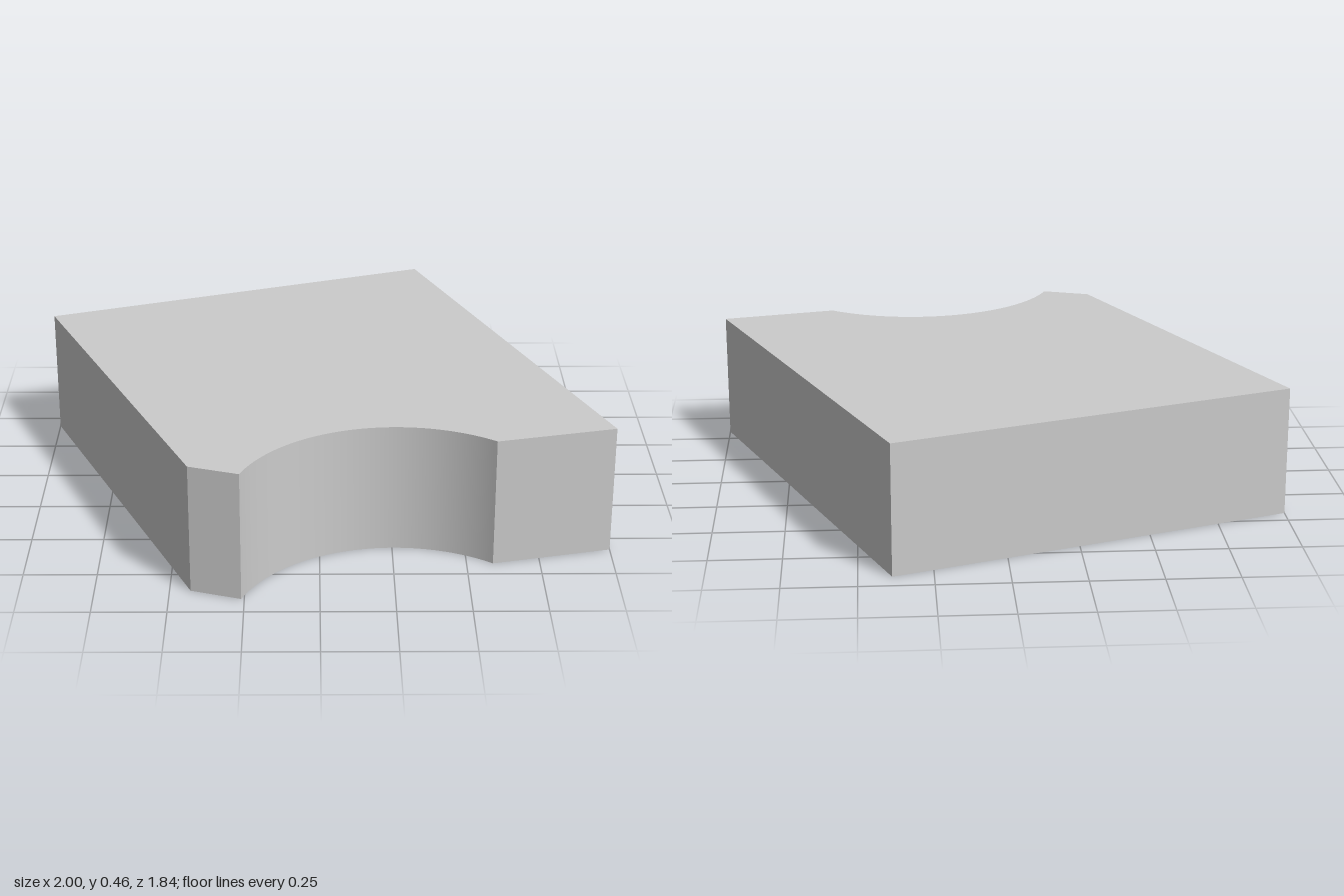
import * as THREE from 'three';
import { toCreasedNormals } from 'three/addons/utils/BufferGeometryUtils.js';

export function createModel() {
  const group = new THREE.Group();
  group.name = 'notchedBlock';
  const height = 0.46;

  // Plan outline, drawn with shape y = -z
  const outline = new THREE.Shape();
  outline.moveTo(-1, 0.43);
  outline.lineTo(-0.43, -0.86);
  outline.lineTo(-0.26, -0.916);
  // Round scoop cut out of the front edge
  const cx = 0.255, cy = -1.117, radius = 0.553;
  const start = Math.atan2(-0.916 - cy, -0.26 - cx);
  const end = Math.atan2(-0.677 - cy, 0.59 - cx);
  outline.absarc(cx, cy, radius, start, end, true);
  outline.lineTo(1, -0.58);
  outline.lineTo(0.388, 0.925);
  outline.closePath();

  const solid = new THREE.ExtrudeGeometry(outline, { depth: height, bevelEnabled: false, curveSegments: 40 });
  solid.rotateX(-Math.PI / 2);

  // Smooth scoop, sharp edges elsewhere
  const block = new THREE.Mesh(
    toCreasedNormals(solid, 0.25),
    new THREE.MeshStandardMaterial({ color: 0xcccccc })
  );
  block.name = 'block';
  group.add(block);
  return group;
}
